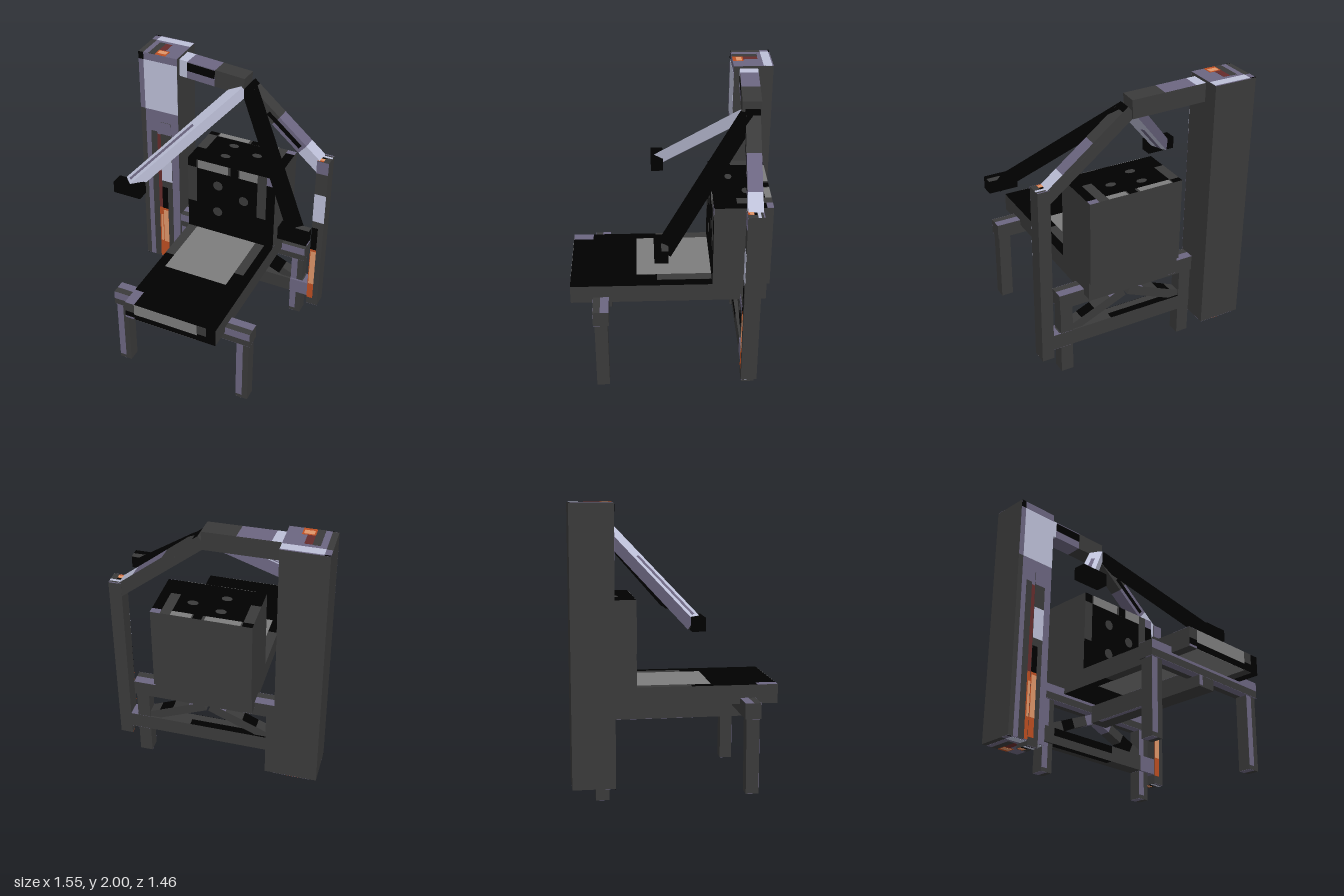
import * as THREE from 'three';

const mat = (name, color) => {
  const m = new THREE.MeshStandardMaterial({ color });
  m.name = name;
  return m;
};

export function createModel() {
  const root = new THREE.Group();
  root.name = 'exerciseBench';
  const dark = mat('charcoal', 0x3a3a3a), black = mat('black', 0x000000), gray = mat('gray', 0x7d7d7d);
  const slate = mat('slate', 0x6c6681), lavender = mat('lavender', 0xbdc0d8);
  const orange = mat('orange', 0xbe4f22), salmon = mat('salmon', 0xe0966a), maroon = mat('maroon', 0x662c2c);

  const group = (name) => {
    const g = new THREE.Group();
    g.name = name;
    root.add(g);
    return g;
  };
  // Face materials in box order; everything not listed is charcoal
  const faces = ({ right = dark, left = dark, top = dark, bottom = dark, front = dark }) =>
    [right, left, top, bottom, front, dark];

  const box = (g, name, [x0, x1], [y0, y1], [z0, z1], m = dark) => {
    const mesh = new THREE.Mesh(new THREE.BoxGeometry(x1 - x0, y1 - y0, z1 - z0), m);
    mesh.name = name;
    mesh.position.set((x0 + x1) / 2, (y0 + y1) / 2, (z0 + z1) / 2);
    g.add(mesh);
  };

  // Box whose front pattern of thin plates [material, x0, x1, y0, y1, level]
  // repeats, stretched in depth, on its top and (turned over) its bottom
  const layer = 0.0015;
  const painted = (g, name, x, y, z, base, plates) => {
    box(g, name, x, y, z, faces({ top: base, bottom: base, front: base }));
    const depth = (h) => (z[1] - z[0]) * (y[1] - h) / (y[1] - y[0]);
    for (const [m, x0, x1, y0, y1, level = 1] of plates) {
      const t = layer * level;
      box(g, name + 'FrontPaint', [x0, x1], [y0, y1], [z[1], z[1] + t], m);
      box(g, name + 'TopPaint', [x0, x1], [y[1], y[1] + t], [z[0] + depth(y1), z[0] + depth(y0)], m);
      box(g, name + 'BottomPaint', [x0, x1], [y[0] - t, y[0]], [z[1] - depth(y0), z[1] - depth(y1)], m);
    }
  };

  // Square bar between two points, using the part t0..t1 of its length
  const bar = (g, name, a, b, w, h, m, t0 = 0, t1 = 1) => {
    const A = new THREE.Vector3(...a), B = new THREE.Vector3(...b);
    const p = A.clone().lerp(B, t0), q = A.clone().lerp(B, t1);
    const mesh = new THREE.Mesh(new THREE.BoxGeometry(w, h, p.distanceTo(q)), m);
    mesh.name = name;
    mesh.position.copy(p).add(q).multiplyScalar(0.5);
    mesh.lookAt(q);
    g.add(mesh);
  };

  // Weight tower
  const tower = group('tower');
  painted(tower, 'towerColumn', [-0.78, -0.472], [0.175, 1.995], [-0.73, -0.45], dark, [
    [slate, -0.74, -0.472, 0.175, 1.54], [slate, -0.78, -0.472, 1.54, 1.995],
    [lavender, -0.74, -0.472, 1.54, 1.94, 2], [black, -0.78, -0.74, 1.94, 1.995, 2],
    [dark, -0.70, -0.65, 0.175, 1.36, 2], [maroon, -0.65, -0.6, 0.67, 1.34, 2],
    [orange, -0.65, -0.565, 0.18, 0.67, 2], [salmon, -0.64, -0.575, 0.34, 0.6, 3]]);

  // Uprights
  const posts = group('uprights');
  for (const [name, x, z] of [['rightPost', -0.62, -0.444], ['leftPost', 0.615, -0.45]])
    painted(posts, name, [x, x + 0.088], [0.14, 1.45], [-0.56, z], dark, [
      [orange, x, x + 0.047, 0.2, 0.67], [salmon, x + 0.006, x + 0.047, 0.34, 0.65, 2],
      [black, x, x + 0.047, 0.67, 0.87], [lavender, x, x + 0.088, 0.93, 1.17],
      [slate, x, x + 0.088, 1.35, 1.45]]);

  // Bench frame: identical front and rear trestles joined by a spine
  const frame = group('benchFrame');
  for (const [z, label] of [[0.515, 'front'], [-0.515, 'rear']]) {
    painted(frame, label + 'Crossbeam', [-0.48, 0.57], [0.53, 0.64], [z - 0.055, z + 0.055], dark,
      [[slate, -0.48, 0.57, 0.58, 0.64]]);
    for (const x of [-0.47, 0.47])
      painted(frame, label + 'Leg', [x, x + 0.09], [0.002, 0.53], [z - 0.045, z + 0.045], dark,
        [[slate, x, x + 0.048, 0.03, 0.528]]);
  }
  painted(frame, 'spine', [-0.03, 0.11], [0.45, 0.58], [-0.46, 0.57], dark, [[slate, -0.03, 0, 0.46, 0.53]]);
  painted(frame, 'lowerRearBeam', [-0.55, 0.62], [0.21, 0.325], [-0.56, -0.455], dark,
    [[black, -0.38, 0.17, 0.27, 0.325], [slate, 0.47, 0.615, 0.21, 0.325]]);
  // The front face of a bar is its left side when it runs towards +x, else its right side
  for (const s of [-1, 1]) {
    const a = [0.045 + s * 0.52, 0.29, -0.51], b = [0.045 + s * 0.02, 0.505, -0.51];
    [[dark, 0, 0.36], [black, 0.36, 0.56], [dark, 0.56, 0.8], [slate, 0.8, 1]].forEach(([m, t0, t1]) =>
      bar(frame, 'brace', a, b, 0.08, 0.07,
        faces({ [s < 0 ? 'left' : 'right']: m, top: m, bottom: m }), t0, t1));
  }

  // Seat cushion
  const seat = group('seat');
  painted(seat, 'seatCushion', [-0.30, 0.387], [0.6, 0.733], [-0.64, 0.727], black, [
    [gray, -0.23, 0.25, 0.645, 0.733], [dark, -0.30, -0.23, 0.659, 0.733],
    [dark, 0.25, 0.32, 0.659, 0.733], [slate, -0.30, -0.23, 0.6, 0.614]]);

  // Backrest cushion
  const rest = group('backrest');
  painted(rest, 'backCushion', [-0.30, 0.387], [0.73, 1.338], [-0.66, -0.262], black, [
    [dark, -0.30, -0.23, 0.97, 1.27], [dark, 0.25, 0.32, 0.97, 1.27],
    [dark, -0.23, 0.25, 1.27, 1.338], [gray, -0.22, 0.02, 1.27, 1.338, 2],
    [gray, 0.11, 0.25, 1.27, 1.338, 2], [black, 0.04, 0.1, 1.27, 1.338, 2],
    [dark, 0.25, 0.32, 1.27, 1.338], [slate, 0.32, 0.387, 1.27, 1.338]]);
  for (const [x, y] of [[-0.06, 1.155], [0.145, 1.08], [-0.06, 0.925]]) {
    const geo = new THREE.CylinderGeometry(0.037, 0.037, 0.004, 24);
    const front = new THREE.Mesh(geo, dark), top = new THREE.Mesh(geo, dark);
    front.name = 'frontButton';
    front.rotation.x = Math.PI / 2;
    front.position.set(x, y, -0.262);
    top.name = 'topButton';
    top.scale.z = 0.65;
    top.position.set(x, 1.338, -0.66 + (1.338 - y) * 0.655);
    rest.add(front, top);
  }

  // Overhead beams, meeting at the apex
  const overhead = group('overheadBeams');
  const run = (name, p, q, w, h, parts) => parts.forEach(([m, t0, t1]) =>
    bar(overhead, name, p, q, w, h, faces({ left: m, top: m, bottom: m }), t0, t1));
  run('towerBeam', [-0.5, 1.914, -0.557], [0.045, 1.89, -0.526], 0.13, 0.13,
    [[lavender, 0, 0.17], [slate, 0.17, 0.58], [dark, 0.58, 1]]);
  bar(overhead, 'towerBeamStripe', [-0.5, 1.94, -0.557], [0.045, 1.916, -0.526], 0.133, 0.065,
    faces({ left: black }), 0.17, 0.58);
  const p = [0.045, 1.877, -0.53], q = [0.65, 1.38, -0.507];
  run('postBeam', p, q, 0.1, 0.09,
    [[black, 0, 0.06], [dark, 0.06, 0.4], [slate, 0.4, 0.75], [lavender, 0.75, 1]]);
  bar(overhead, 'postBeamStripe', p, q, 0.103, 0.035, faces({ left: black }), 0.3, 0.72);

  // Handle arms, reaching forward and down
  const arms = group('handleArms');
  const rightStart = [0.02, 1.862, -0.5], rightEnd = [-0.605, 1.207, 0.09];
  bar(arms, 'rightArm', rightStart, rightEnd, 0.095, 0.08,
    faces({ right: lavender, left: slate, top: lavender, bottom: lavender }));
  bar(arms, 'rightArmStripe', rightStart, rightEnd, 0.026, 0.083, slate, 0.4, 0.95);
  bar(arms, 'leftArm', [0.07, 1.862, -0.5], [0.69, 1.207, 0.09], 0.095, 0.08, black);
  box(arms, 'rightHandle', [-0.69, -0.48], [1.17, 1.26], [0.055, 0.145], black);
  box(arms, 'leftHandle', [0.57, 0.775], [1.17, 1.26], [0.055, 0.145], black);
  box(arms, 'handlePaint', [0.68, 0.775], [1.26, 1.262], [0.055, 0.1], dark);

  return root;
}
